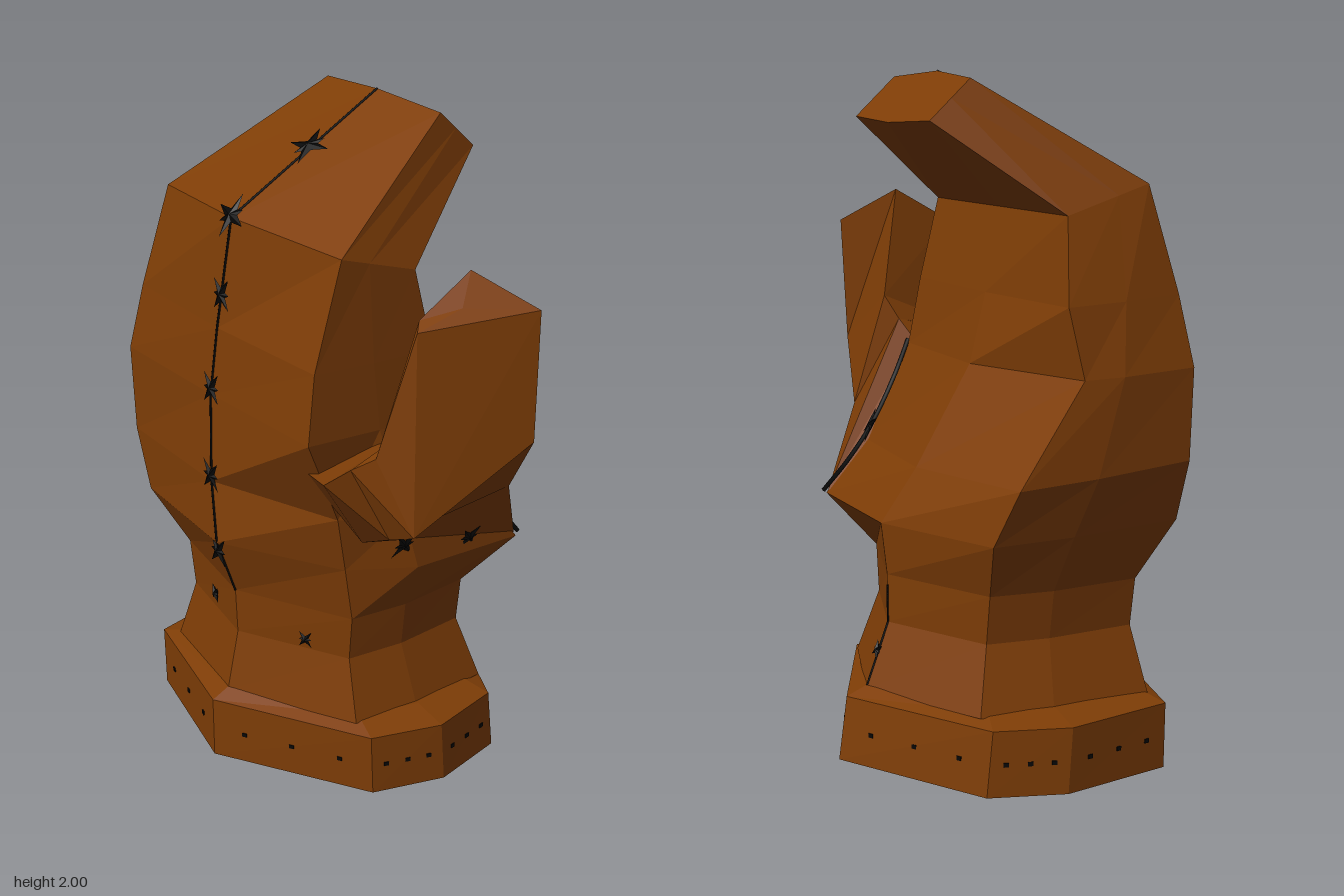
import * as THREE from 'three';

const leather = new THREE.MeshStandardMaterial({ color: 0x7e3d06 });
leather.name = 'brown leather';
const thread = new THREE.MeshStandardMaterial({ color: 0x060606 });
thread.name = 'black thread';

const V = (x, y, z) => new THREE.Vector3(x, y, z);

// Faceted skin over rings of points, closed by a fan at both ends
function loft(rings) {
  const pos = [];
  const tri = (...p) => p.forEach(v => pos.push(v.x, v.y, v.z));
  const centre = r => r.reduce((s, v) => s.add(v), V(0, 0, 0)).divideScalar(r.length);
  const n = rings[0].length, first = rings[0], last = rings[rings.length - 1];
  const c0 = centre(first), c1 = centre(last);
  for (let i = 0; i < n; i++) {
    const j = (i + 1) % n;
    for (let k = 0; k + 1 < rings.length; k++) {
      const a = rings[k], b = rings[k + 1];
      tri(a[i], a[j], b[j]);
      tri(a[i], b[j], b[i]);
    }
    tri(c0, first[j], first[i]);
    tri(c1, last[i], last[j]);
  }
  const g = new THREE.BufferGeometry();
  g.setAttribute('position', new THREE.Float32BufferAttribute(pos, 3));
  g.computeVertexNormals();
  return g;
}

// Eight-sided ring between a back point and a palm point, with a front and rear z.
// The corners (palm rear, back rear, back front, palm front) are pairs of
// fractions, along the ring and along z, where 1 and 1 is a square corner.
function section([bx, by, px, py, zf, zb, pr, br, bf, pf]) {
  const unit = [[1, 0], pr, [0, 1], [-br[0], br[1]],
    [-1, 0], [-bf[0], -bf[1]], [0, -1], [pf[0], -pf[1]]];
  return unit.map(([c, s]) => {
    const u = (1 + c) / 2;
    return V(bx + (px - bx) * u, by + (py - by) * u, (zf + zb) / 2 - s * (zf - zb) / 2);
  });
}

export function createModel() {
  const model = new THREE.Group();
  const add = (name, geo, mat, parent = model) => {
    const m = new THREE.Mesh(geo, mat);
    m.name = name;
    parent.add(m);
    return m;
  };

  // Cuff
  const cuffCorners = [[0.47, 0.88], [0.75, 0.85], [0.46, 0.87], [0.5, 0.9]];
  const cuffRings = [
    [-0.06, 0, 0.04, 0, 0.32, -0.1],
    [-0.465, 0.045, 0.465, 0.05, 0.435, -0.615],
    [-0.465, 0.235, 0.44, 0.235, 0.435, -0.615],
    [-0.41, 0.26, 0.38, 0.26, 0.33, -0.51],
  ].map(r => section([...r, ...cuffCorners]));
  add('cuff', loft(cuffRings), leather);

  // Wrist, palm and bent fingers
  const wristCorners = [[0.55, 0.95], [0.8, 0.93], [0.52, 0.94], [0.66, 0.95]];
  const handRows = [
    [-0.41, 0.25, 0.38, 0.25, 0.32, -0.5, ...wristCorners],
    [-0.37, 0.44, 0.31, 0.44, 0.265, -0.44, ...wristCorners],
    [-0.375, 0.58, 0.31, 0.58, 0.285, -0.46, ...wristCorners],
    [-0.44, 0.76, 0.325, 0.73, 0.37, -0.53, [0.62, 0.96], [0.88, 0.95], [0.48, 0.78], [0.97, 1]],
    [-0.428, 0.94, 0.23, 0.89, 0.36, -0.59, [0.7, 0.97], [0.9, 0.96], [0.55, 0.85], [0.88, 1]],
    [-0.41, 1.2, 0.07, 1.18, 0.335, -0.6, [0.48, 0.97], [0.95, 0.96], [0.98, 0.98], [0.93, 1]],
    [-0.39, 1.4, 0.015, 1.38, 0.33, -0.57, [0.85, 0.99], [0.88, 0.95], [0.95, 0.98], [1, 1]],
    [-0.35, 1.72, -0.04, 1.62, 0.32, -0.51, [1, 1], [0.6, 1], [0.6, 1], [1, 1]],
    [0.15, 2.0, 0.3, 1.86, 0.165, -0.345, [0.85, 1], [0.75, 1], [0.75, 1], [0.85, 1]],
  ];
  add('hand', loft(handRows.map(section)), leather);

  // Thumb, four-sided, growing out of the front side of the palm
  const thumbRings = [
    [[0.2, 0.76, 0.22], [0, 1.15, 0.22], [-0.35, 1.08, 0.22], [-0.22, 0.9, 0.22]],
    [[0.31, 0.74, 0.365], [0.03, 1.19, 0.345], [-0.415, 1.12, 0.405], [-0.25, 0.88, 0.36]],
    [[0.17, 0.98, 0.49], [0.065, 1.25, 0.38], [-0.34, 1.15, 0.425], [-0.23, 0.92, 0.455]],
    [[0.138, 1.17, 0.62], [0.1, 1.32, 0.41], [-0.27, 1.17, 0.445], [-0.21, 0.95, 0.535]],
    [[0.165, 1.54, 0.6], [0.04, 1.64, 0.455], [-0.14, 1.54, 0.46], [-0.17, 1.52, 0.49]],
  ].map(r => r.map(p => V(...p)));
  add('thumb', loft(thumbRings), leather);

  // Seams: thin threads lying on the leather
  const seam = (name, pts, radius) => {
    const path = new THREE.CurvePath();
    for (let i = 0; i + 1 < pts.length; i++) path.add(new THREE.LineCurve3(pts[i], pts[i + 1]));
    add(name, new THREE.TubeGeometry(path, 60, radius, 5), thread);
  };
  seam('backSeam', handRows.slice(2).map(r => V(r[0], r[1], (r[4] + r[5]) / 2)), 0.004);
  seam('wristSeam', [V(0.38, 0.25, -0.09), V(0.31, 0.44, -0.09), V(0.31, 0.55, -0.09)], 0.003);
  const thumbCurve = new THREE.CatmullRomCurve3([V(0.05, 1.19, 0.345), V(0.125, 1.08, 0.29),
    V(0.2, 0.95, 0.28), V(0.265, 0.84, 0.31), V(0.325, 0.74, 0.365)]);
  add('thumbSeam', new THREE.TubeGeometry(thumbCurve, 24, 0.007, 5), thread);

  // Star-shaped stitches of three crossed spikes, facing along a normal
  const star = (x, y, z, normal, size) => {
    const g = new THREE.Group();
    g.name = 'stitch';
    [0.9, -0.9, 0].forEach((a, i) => {
      const spike = add('stitchSpike', new THREE.OctahedronGeometry(1), thread, g);
      spike.scale.set(size * (i < 2 ? 0.62 : 0.4), size * 0.17, 0.009);
      spike.rotation.z = a;
    });
    const n = normal.normalize();
    g.position.set(x, y, z).addScaledVector(n, 0.003);
    g.quaternion.setFromUnitVectors(V(0, 0, 1), n);
    model.add(g);
  };
  star(-0.08, 1.871, -0.1, V(-0.48, 0.86, 0), 0.12);
  star(-0.345, 1.723, -0.1, V(-0.8, 0.6, 0), 0.11);
  star(-0.378, 1.5, -0.11, V(-1, 0.1, 0), 0.09);
  star(-0.408, 1.22, -0.13, V(-1, 0.08, 0), 0.09);
  star(-0.428, 0.96, -0.115, V(-1, 0, 0), 0.09);
  star(-0.43, 0.73, -0.085, V(-1, 0, 0), 0.09);
  star(-0.35, 0.5, -0.23, V(-1, 0, -0.2), 0.05);
  star(-0.28, 0.48, 0.13, V(-0.85, 0, 0.5), 0.05);
  star(0.2, 0.945, 0.285, V(0.9, 0.4, 0.2), 0.09);
  star(-0.11, 0.835, 0.37, V(0, -0.4, 0.9), 0.09);
  star(0.13, 0.785, 0.37, V(0, -0.4, 0.9), 0.08);
  star(0.342, 0.36, -0.09, V(1, 0.3, 0), 0.05);

  // Row of small stitches around the cuff
  const [, low, high] = cuffRings;
  low.forEach((start, i) => {
    const end = low[(i + 1) % 8];
    for (const t of [0.2, 0.5, 0.8]) {
      const a = start.clone().lerp(end, t), b = high[i].clone().lerp(high[(i + 1) % 8], t);
      const dot = add('cuffStitch', new THREE.BoxGeometry(0.015, 0.012, 0.006), thread);
      dot.position.copy(a.lerp(b, 0.49));
      dot.rotation.y = Math.atan2(start.z - end.z, end.x - start.x);
    }
  });
  return model;
}
